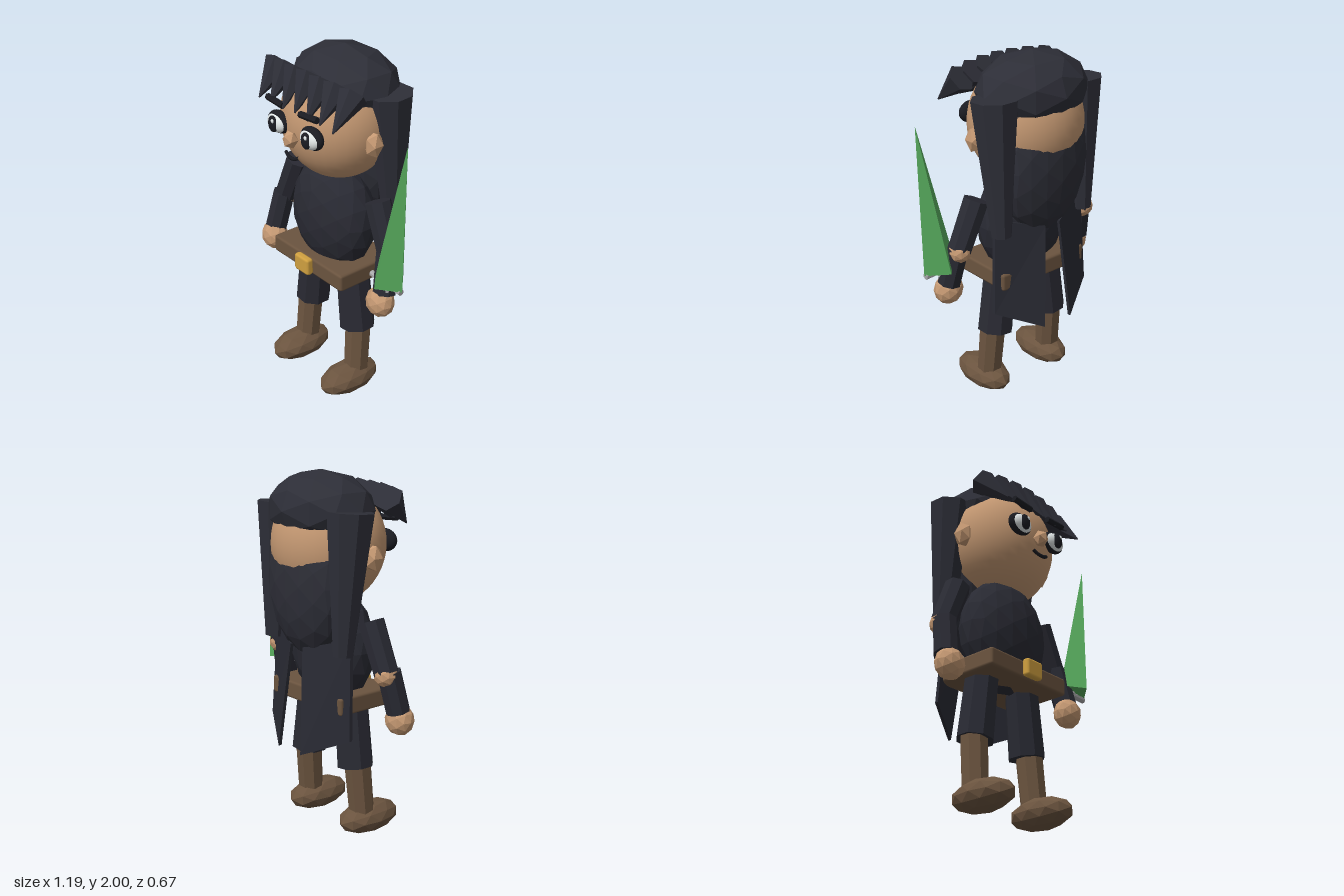
import * as THREE from 'three';
import { RoundedBoxGeometry } from 'three/addons/geometries/RoundedBoxGeometry.js';

const mat = (name, color) => {
  const m = new THREE.MeshStandardMaterial({ color });
  m.name = name;
  return m;
};

export function createModel() {
  const model = new THREE.Group();
  model.name = 'swordsman';
  // the figure's own axis sits a little right of centre, as the sword widens one side
  const figure = new THREE.Group();
  figure.name = 'figure';
  figure.position.x = -0.05;
  model.add(figure);

  const hair = mat('hairBlack', 0x2d2e37);
  const cloth = mat('clothBlack', 0x292a33);
  const skin = mat('skin', 0xc49872);
  const leather = mat('leatherBrown', 0x6b543f);
  const gold = mat('gold', 0xd0a040);
  const green = mat('bladeGreen', 0x57ab5d);
  const steel = mat('steel', 0xa9a9ab);
  const white = mat('eyeWhite', 0xe6ecec);
  const ink = mat('ink', 0x1b1c22);

  const add = (name, geometry, material, pos = [0, 0, 0]) => {
    const mesh = new THREE.Mesh(geometry, material);
    mesh.name = name;
    mesh.position.set(...pos);
    figure.add(mesh);
    return mesh;
  };
  const flat = (g) => {
    const out = g.index ? g.toNonIndexed() : g;
    out.computeVertexNormals();
    return out;
  };
  // faceted ellipsoid
  const blob = (name, material, pos, radii, detail = 1) =>
    add(name, flat(new THREE.IcosahedronGeometry(1, detail).scale(...radii)), material, pos);
  // smooth ellipsoid
  const ball = (name, material, pos, radii, w = 24, h = 16) =>
    add(name, new THREE.SphereGeometry(1, w, h).scale(...radii), material, pos);
  // faceted tapered cylinder from point a to point b
  const limb = (name, material, a, b, ra, rb, sides = 8, spin = Math.PI / 8) => {
    const A = new THREE.Vector3(...a), B = new THREE.Vector3(...b);
    const dir = B.clone().sub(A);
    const g = new THREE.CylinderGeometry(rb, ra, dir.length(), sides).rotateY(spin);
    const mesh = add(name, flat(g), material);
    mesh.position.copy(A).add(B).multiplyScalar(0.5);
    mesh.quaternion.setFromUnitVectors(new THREE.Vector3(0, 1, 0), dir.normalize());
    return mesh;
  };
  // thin slab between four corners, given for the left side and mirrored by s
  const panel = (name, material, s, [outTop, inTop, outLow, inLow]) => {
    const g = new THREE.BoxGeometry(1, 1, 0.02);
    const p = g.attributes.position;
    const [ot, it, ol, il] = [outTop, inTop, outLow, inLow].map((c) => new THREE.Vector3(...c));
    for (let i = 0; i < p.count; i++) {
      const u = 0.5 + s * p.getX(i), v = 0.5 + p.getY(i);
      const low = il.clone().lerp(ol, u), top = it.clone().lerp(ot, u);
      const q = low.lerp(top, v);
      p.setXYZ(i, q.x * s, q.y, q.z + p.getZ(i));
    }
    add(name, flat(g), material);
  };

  // head and face
  ball('head', skin, [0, 1.61, -0.03], [0.32, 0.33, 0.3], 32, 24);
  blob('nose', skin, [0, 1.567, 0.288], [0.042, 0.05, 0.046], 0);
  const smile = new THREE.CatmullRomCurve3([[-0.055, 1.478, 0.278], [-0.02, 1.462, 0.285],
    [0.02, 1.462, 0.285], [0.055, 1.478, 0.278]].map((c) => new THREE.Vector3(...c)));
  add('mouth', new THREE.TubeGeometry(smile, 12, 0.01, 6), ink);

  // hair
  blob('hairCap', hair, [0, 1.8, -0.08], [0.325, 0.2, 0.26]);
  blob('backHair', hair, [0, 1.42, -0.17], [0.28, 0.4, 0.155], 2);
  for (let i = 0; i < 7; i++) {
    const t = i - 3, edge = Math.abs(t) / 3;
    const x = t * 0.1;
    limb('fringeSpike', hair, [x, 1.885 - 0.025 * edge ** 2, 0.155 - 0.03 * edge ** 2],
      [x + 0.035, 1.715 + 0.01 * (i % 2), 0.285], 0.078, 0.004, 6, 0);
  }

  // torso, belt and buckle
  blob('torso', cloth, [0, 1.05, 0], [0.285, 0.33, 0.185], 2);
  add('belt', new RoundedBoxGeometry(0.59, 0.1, 0.39, 1, 0.015), leather, [0, 0.79, 0.005]);
  add('buckle', new RoundedBoxGeometry(0.12, 0.1, 0.045, 1, 0.015), gold, [0, 0.795, 0.218]);

  for (const s of [-1, 1]) {
    // eye, brow and ear
    ball('eyeRim', ink, [s * 0.137, 1.612, 0.255], [0.081, 0.062, 0.042]);
    ball('eyeWhite', white, [s * 0.137, 1.61, 0.262], [0.073, 0.055, 0.044]);
    ball('pupil', ink, [s * 0.137, 1.61, 0.296], [0.035, 0.046, 0.018], 16, 12);
    ball('eyeGlint', white, [s * 0.137 + 0.012, 1.632, 0.309], [0.011, 0.012, 0.006], 10, 8);
    limb('brow', ink, [s * 0.07, 1.728, 0.278], [s * 0.205, 1.737, 0.275], 0.018, 0.018, 6, 0);
    blob('ear', skin, [s * 0.32, 1.567, 0.002], [0.05, 0.075, 0.055], 0);

    // long side lock and coat tail
    limb('sideLock', hair, [s * 0.29, 1.07, -0.172], [s * 0.29, 1.81, -0.125], 0.055, 0.128);
    panel('coatTail', cloth, s, [[0.31, 1.15, -0.13], [0.05, 1.08, -0.24],
      [0.335, 0.61, -0.155], [0.095, 0.5, -0.295]]);

    // arm
    limb('upperArm', cloth, [s * 0.445, 0.98, -0.01], [s * 0.335, 1.24, -0.02], 0.068, 0.072);
    blob('elbow', skin, [s * 0.447, 0.975, -0.015], [0.066, 0.066, 0.066]);
    limb('forearm', cloth, [s * 0.475, 0.77, 0.05], [s * 0.447, 0.99, 0.005], 0.066, 0.066);
    blob('hand', skin, [s * 0.466, 0.72, 0.07], [0.085, 0.087, 0.075]);

    // leg
    limb('trouserLeg', cloth, [s * 0.2, 0.4, -0.003], [s * 0.155, 0.78, 0], 0.102, 0.094);
    limb('bootShaft', leather, [s * 0.223, 0.13, 0.025], [s * 0.212, 0.44, 0], 0.072, 0.076);
    blob('bootFoot', leather, [s * 0.22, 0.086, 0.078], [0.11, 0.086, 0.2]);
  }

  // sword held in the left hand
  limb('swordGrip', steel, [0.5, 0.68, 0.065], [0.52, 0.87, 0.065], 0.018, 0.018);
  limb('swordGuard', steel, [0.39, 0.86, 0.065], [0.62, 0.848, 0.065], 0.018, 0.018);
  limb('swordBlade', green, [0.525, 0.868, 0.065], [0.641, 1.69, 0.072], 0.103, 0.001, 4, 0);

  return model;
}
